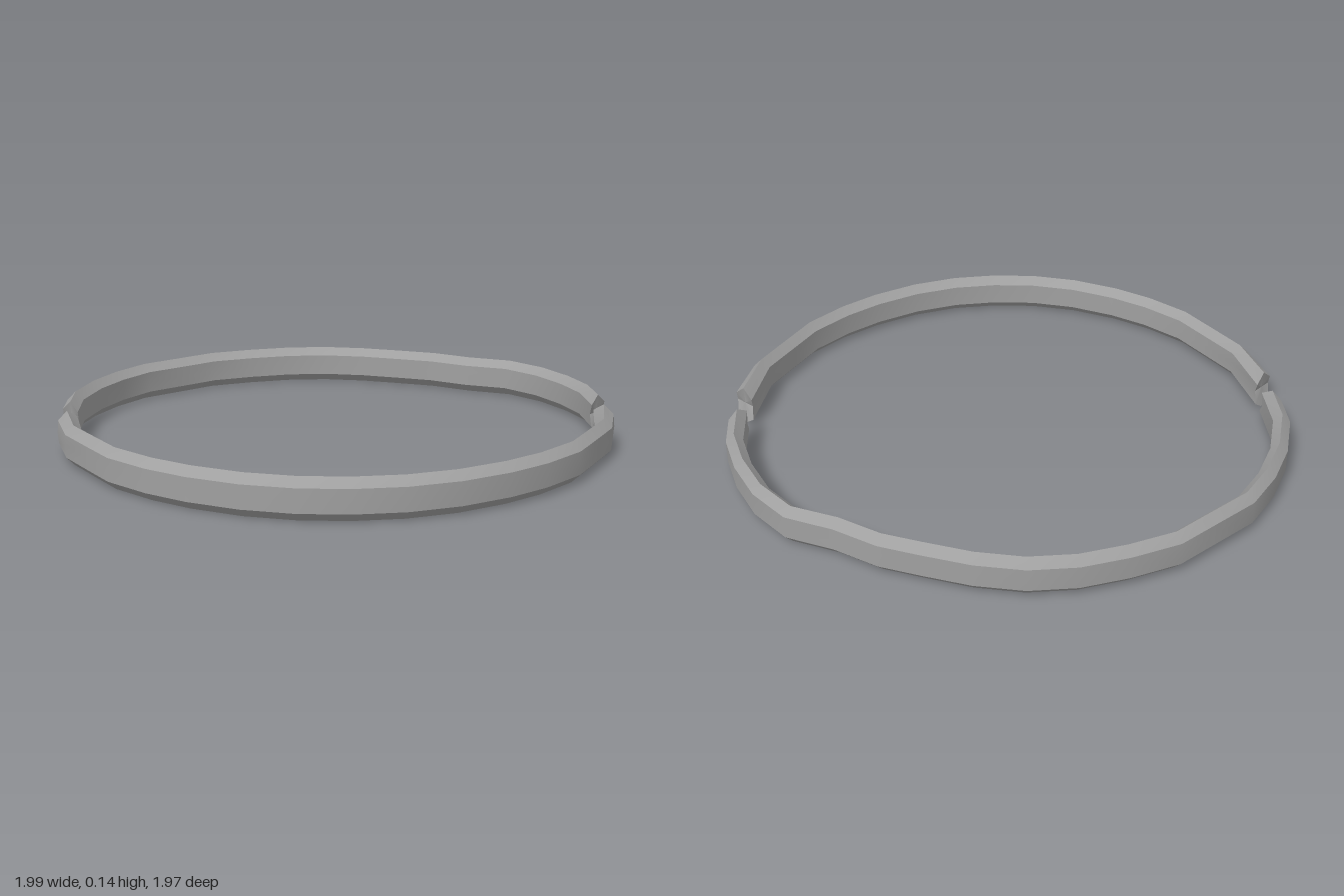
import * as THREE from 'three';
import { toCreasedNormals } from 'three/addons/utils/BufferGeometryUtils.js';

// Cross-section, going outer wall -> top ridge -> inner wall -> bottom ridge:
// [distance inward, height, extra reach at the broken ends]
const SECTION = [
  [0, 0.03, 0], [0, 0.07, -0.02], [0, 0.11, 0], [0.03, 0.14, 0.02],
  [0.06, 0.11, 0.055], [0.06, 0.07, 0.03], [0.06, 0.03, 0.06], [0.03, 0, 0.03],
];
const CENTRE = [0.03, 0.07, 0.005];

// Outer outlines [x, z], both running the same way round
const BACK = [
  [-0.99, -0.055], [-0.99, -0.2], [-0.94, -0.385], [-0.865, -0.54], [-0.765, -0.68],
  [-0.62, -0.79], [-0.495, -0.885], [-0.33, -0.945], [-0.165, -0.985], [0, -0.99],
  [0.165, -0.955], [0.325, -0.895], [0.46, -0.84], [0.6, -0.745], [0.76, -0.67],
  [0.87, -0.535], [0.945, -0.375], [0.99, -0.215], [0.995, -0.07],
];
const QUARTER = [
  [0.985, 0.12], [0.935, 0.315], [0.845, 0.47], [0.765, 0.605],
  [0.635, 0.735], [0.505, 0.83], [0.34, 0.915], [0.17, 0.965],
];
const FRONT = [...QUARTER, [0, 0.98], ...QUARTER.map(([x, z]) => [-x, z]).reverse()];

function halfRing(path) {
  const pos = [], index = [], n = SECTION.length, last = path.length - 1;
  const add = (i, [inward, y, reach]) => {
    const [x, z] = path[i], k = 1 - inward / Math.hypot(x, z);
    const shift = i === 0 || i === last ? -Math.sign(z) * reach : 0;
    pos.push(x * k, y, z * k + shift);
  };
  path.forEach((_, i) => SECTION.forEach((s) => add(i, s)));

  // Walls and chamfers along the band
  for (let i = 0; i < last; i++) {
    for (let j = 0; j < n; j++) {
      const a = i * n + j, b = i * n + (j + 1) % n;
      index.push(a, b, a + n, b, b + n, a + n);
    }
  }
  // Notched end faces
  const c = path.length * n;
  add(0, CENTRE);
  add(last, CENTRE);
  for (let j = 0; j < n; j++) {
    const k = (j + 1) % n;
    index.push(c, k, j, c + 1, last * n + j, last * n + k);
  }
  const geo = new THREE.BufferGeometry();
  geo.setAttribute('position', new THREE.Float32BufferAttribute(pos, 3));
  geo.setIndex(index);
  return toCreasedNormals(geo, THREE.MathUtils.degToRad(32));
}

export function createModel() {
  const group = new THREE.Group();
  group.name = 'splitRing';
  const metal = new THREE.MeshStandardMaterial({ color: 0xa0a0a0 });
  metal.name = 'greyMetal';

  for (const [name, path] of [['backHalf', BACK], ['frontHalf', FRONT]]) {
    const mesh = new THREE.Mesh(halfRing(path), metal);
    mesh.name = name;
    group.add(mesh);
  }
  return group;
}
